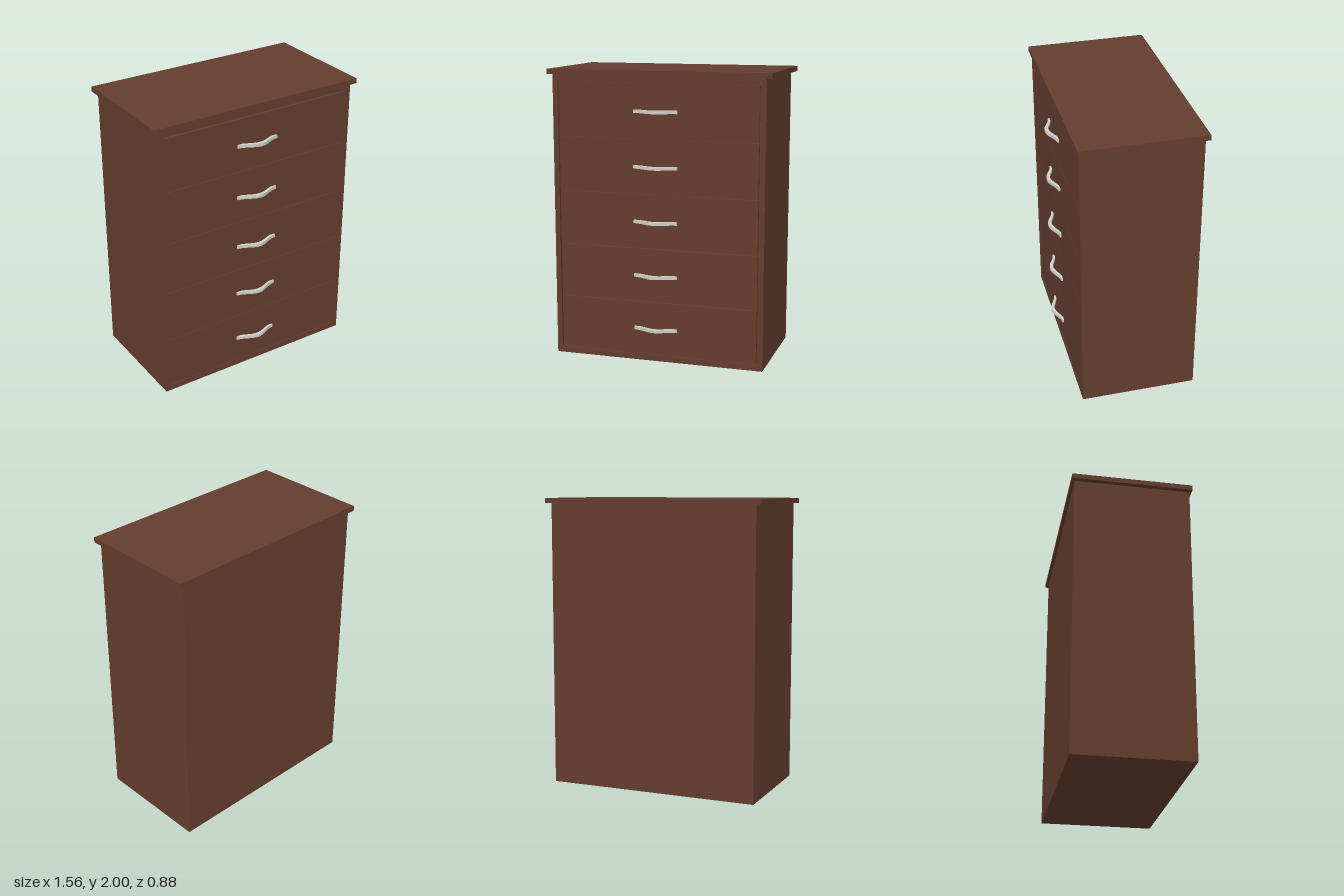
import * as THREE from 'three';

const wood = new THREE.MeshStandardMaterial({ color: 0x643d2e });
wood.name = 'brown wood';
const metal = new THREE.MeshStandardMaterial({ color: 0xd0d0c8 });
metal.name = 'pale metal';

// Box given by its minimum and maximum corners
function box(name, [x0, y0, z0], [x1, y1, z1]) {
  const mesh = new THREE.Mesh(new THREE.BoxGeometry(x1 - x0, y1 - y0, z1 - z0), wood);
  mesh.position.set((x0 + x1) / 2, (y0 + y1) / 2, (z0 + z1) / 2);
  mesh.name = name;
  return mesh;
}

// Bowed strip, drawn in plan (x, depth) and extruded upwards
function handleGeometry() {
  const half = 0.153, steps = 20, height = 0.022;
  const bow = (x) => Math.cos((x / half) * Math.PI / 2) ** 2;
  const outer = [], inner = [];
  for (let i = 0; i <= steps; i++) {
    const x = -half + (2 * half * i) / steps;
    outer.push(new THREE.Vector2(x, -(0.012 + 0.05 * bow(x))));
    inner.push(new THREE.Vector2(x, -(-0.006 + 0.044 * bow(x))));
  }
  const shape = new THREE.Shape([...outer, ...inner.reverse()]);
  const geo = new THREE.ExtrudeGeometry(shape, { depth: height, bevelEnabled: false });
  return geo.rotateX(-Math.PI / 2).translate(0, -height / 2, 0);
}

export function createModel() {
  const group = new THREE.Group();
  group.name = 'chestOfDrawers';

  // Carcass and overhanging top
  group.add(box('carcass', [-0.745, 0, -0.42], [0.74, 1.965, 0.36]));
  group.add(box('topBoard', [-0.78, 1.965, -0.44], [0.78, 2, 0.395]));

  // Front frame around the drawers
  group.add(box('frameRight', [-0.745, 0, 0.36], [-0.709, 1.965, 0.38]));
  group.add(box('frameLeft', [0.704, 0, 0.36], [0.74, 1.965, 0.38]));
  group.add(box('frameBottom', [-0.709, 0, 0.36], [0.704, 0.043, 0.38]));
  group.add(box('frameTop', [-0.709, 1.929, 0.36], [0.704, 1.965, 0.38]));

  // Five equal drawers, each with a bowed handle
  const handle = handleGeometry();
  const pitch = 0.375;
  for (let i = 0; i < 5; i++) {
    const y = 0.046 + i * pitch;
    group.add(box('drawerFront' + (i + 1), [-0.701, y, 0.35], [0.696, y + pitch - 0.004, 0.378]));
    const pull = new THREE.Mesh(handle, metal);
    pull.name = 'handle' + (i + 1);
    pull.position.set(-0.012, 0.23 + i * pitch, 0.378);
    group.add(pull);
  }
  return group;
}
